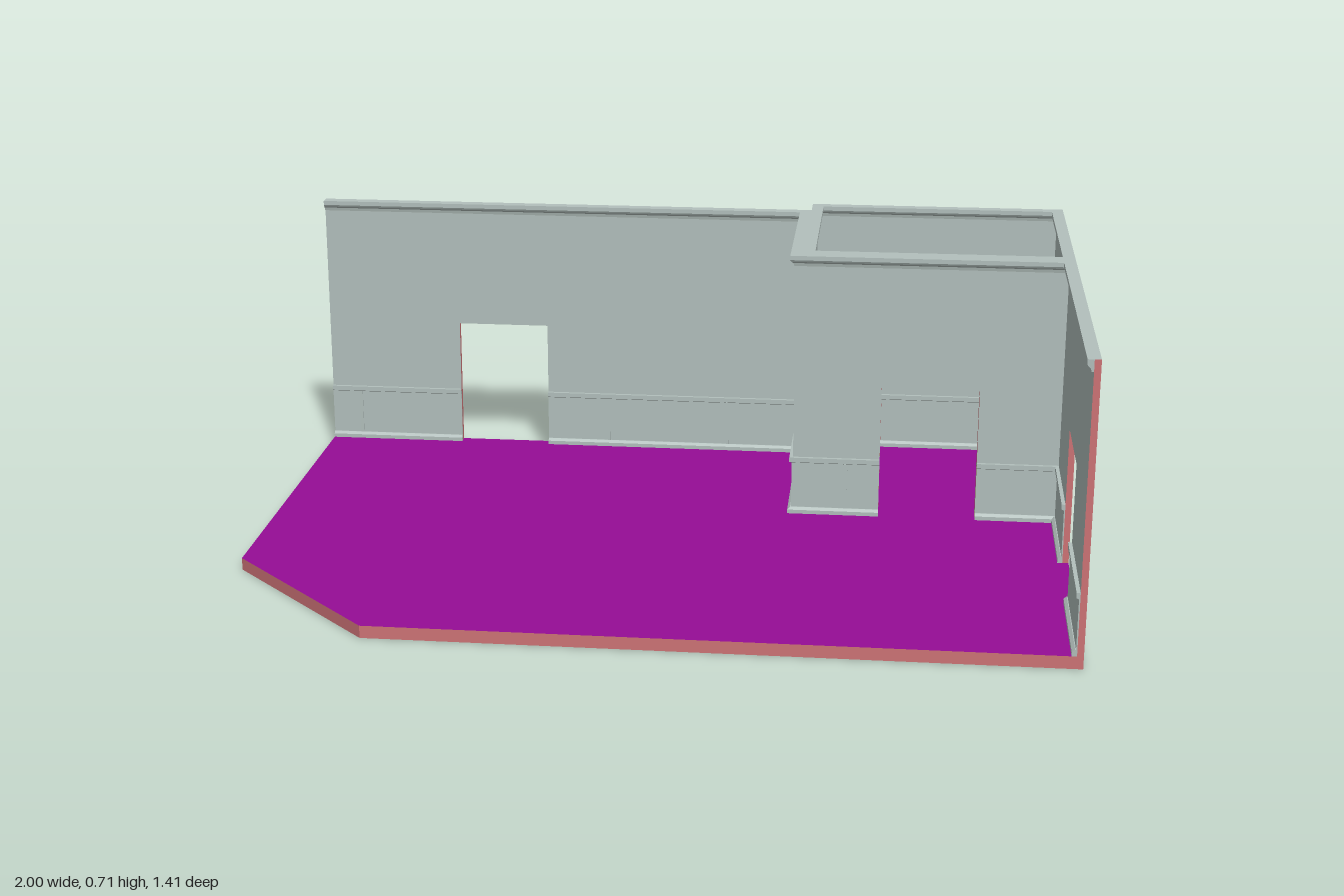
import * as THREE from 'three';

const mat = (color) => new THREE.MeshStandardMaterial({ color, flatShading: true });
const wallMat = mat(0xb2bfbc), cutMat = mat(0xcd7376), floorMat = mat(0x960d96), underMat = mat(0x416350);

const FLOOR = 0.03, TOP = 0.71, DOOR = 0.37, FRONT = 0.706;

// moulding profiles: [distance from wall, height], bottom to top
const CORNICE = [[0, 0.682], [0.005, 0.682], [0.007, 0.69], [0.012, 0.694], [0.015, 0.699], [0.015, TOP], [0, TOP]];
const WAINSCOT = [[0, FLOOR], [0.012, FLOOR], [0.012, 0.04], [0.005, 0.046], [0.003, 0.046],
  [0.003, 0.165], [0.009, 0.168], [0.009, 0.18], [0, 0.18]];

// sweeps a profile along a floor path [x, z] with mitred corners; the room lies to the path's right
function sweep(name, path, profile, closed = false) {
  const n = path.length;
  const normal = (a, b) => new THREE.Vector2(a[1] - b[1], b[0] - a[0]).normalize();
  const rings = path.map((p, i) => {
    const before = closed || i > 0 ? normal(path[(i + n - 1) % n], p) : null;
    const after = closed || i < n - 1 ? normal(p, path[(i + 1) % n]) : null;
    const a = before || after, b = after || before;
    const m = a.clone().add(b).divideScalar(1 + a.dot(b));
    return profile.map(([d, y]) => [p[0] + m.x * d, y, p[1] + m.y * d]);
  });
  const pos = [];
  const tri = (...corners) => corners.forEach((c) => pos.push(...c));
  for (let i = 0; i < (closed ? n : n - 1); i++) {
    const r = rings[i], s = rings[(i + 1) % n];
    for (let j = 0; j < profile.length - 1; j++) {
      tri(r[j], s[j], s[j + 1]);
      tri(r[j], s[j + 1], r[j + 1]);
    }
  }
  if (!closed) {
    const first = rings[0], last = rings[n - 1];
    const faces = THREE.ShapeUtils.triangulateShape(profile.map(([d, y]) => new THREE.Vector2(d, y)), []);
    for (const [a, b, c] of faces) {
      tri(first[a], first[b], first[c]);
      tri(last[c], last[b], last[a]);
    }
  }
  const geo = new THREE.BufferGeometry();
  geo.setAttribute('position', new THREE.Float32BufferAttribute(pos, 3));
  geo.computeVertexNormals();
  const mesh = new THREE.Mesh(geo, wallMat);
  mesh.name = name;
  return mesh;
}

// block between two corners; faces listed in cut (+x -x +y -y +z -z = 0..5) show the cut colour
function block(name, x0, x1, y0, y1, z0, z1, cut = []) {
  const mats = [0, 1, 2, 3, 4, 5].map((i) => (cut.includes(i) ? cutMat : wallMat));
  const mesh = new THREE.Mesh(new THREE.BoxGeometry(x1 - x0, y1 - y0, z1 - z0), mats);
  mesh.position.set((x0 + x1) / 2, (y0 + y1) / 2, (z0 + z1) / 2);
  mesh.name = name;
  return mesh;
}

// wall with a doorway: two piers and a lintel, along 'x' or 'z'
function doorWall(name, axis, from, to, doorFrom, doorTo, near, far, cutStart, cutEnd) {
  const wall = new THREE.Group();
  wall.name = name;
  const [plus, minus] = axis === 'x' ? [0, 1] : [4, 5];
  const part = (label, a, b, y0, cut) => wall.add(axis === 'x'
    ? block(label, a, b, y0, TOP, near, far, cut)
    : block(label, near, far, y0, TOP, a, b, cut));
  part('pier', from, doorFrom, FLOOR, cutStart ? [plus, minus] : [plus]);
  part('pier', doorTo, to, FLOOR, cutEnd ? [plus, minus] : [minus]);
  part('lintel', doorFrom, doorTo, DOOR, [3]);
  return wall;
}

export function createModel() {
  const model = new THREE.Group();
  model.name = 'roomSection';

  // floor slab with cut corner: underside, top and edge in separate colours
  const outline = [[-1, 0.33], [-0.62, FRONT], [1, FRONT], [1, -FRONT], [0.33, -FRONT], [0.33, -0.63], [-1, -0.63]];
  const slab = new THREE.ExtrudeGeometry(
    new THREE.Shape(outline.map(([x, z]) => new THREE.Vector2(x, -z))), { depth: FLOOR, bevelEnabled: false });
  slab.rotateX(-Math.PI / 2);
  const [lids, sides] = slab.groups.map((g) => ({ ...g }));
  slab.clearGroups();
  slab.addGroup(0, lids.count / 2, 0);
  slab.addGroup(lids.count / 2, lids.count / 2, 1);
  slab.addGroup(sides.start, sides.count, 2);
  const floor = new THREE.Mesh(slab, [underMat, floorMat, cutMat]);
  floor.name = 'floor';
  model.add(floor);

  // walls
  model.add(
    doorWall('backWall', 'x', -1, 0.33, -0.635, -0.39, -0.63, -0.615, true, false),
    doorWall('sideWall', 'z', -FRONT, FRONT, 0.15, 0.4, 0.985, 1, false, true),
    doorWall('partitionWall', 'x', 0.345, 0.985, 0.535, 0.78, -0.165, -0.135, false, false),
    block('closetBackWall', 0.33, 0.985, FLOOR, TOP, -FRONT, -0.691),
    block('closetOuterWall', 0.33, 0.345, FLOOR, TOP, -0.691, -0.615),
    block('closetInnerWall', 0.315, 0.345, FLOOR, TOP, -0.615, -0.135),
  );

  // cornices along both rooms
  model.add(
    sweep('mainCornice', [[-1, -0.615], [0.315, -0.615], [0.315, -0.135], [0.985, -0.135], [0.985, FRONT]], CORNICE),
    sweep('closetCornice', [[0.345, -0.691], [0.985, -0.691], [0.985, -0.165], [0.345, -0.165]], CORNICE, true),
  );

  // wainscot, broken at each doorway
  const runs = [
    [[-1, -0.615], [-0.635, -0.615]],
    [[-0.39, -0.615], [0.315, -0.615], [0.315, -0.135], [0.535, -0.135]],
    [[0.78, -0.135], [0.985, -0.135], [0.985, 0.15]],
    [[0.985, 0.4], [0.985, FRONT]],
    [[0.535, -0.165], [0.345, -0.165], [0.345, -0.691], [0.985, -0.691], [0.985, -0.165], [0.78, -0.165]],
  ];
  runs.forEach((path) => model.add(sweep('wainscot', path, WAINSCOT)));

  // slim upright battens on the wainscot panels
  for (const [x, z] of [[-0.92, -0.615], [-0.22, -0.615], [0.11, -0.615], [0.45, -0.135]]) {
    model.add(block('wainscotBatten', x - 0.004, x + 0.004, 0.046, 0.166, z, z + 0.006));
  }
  return model;
}
